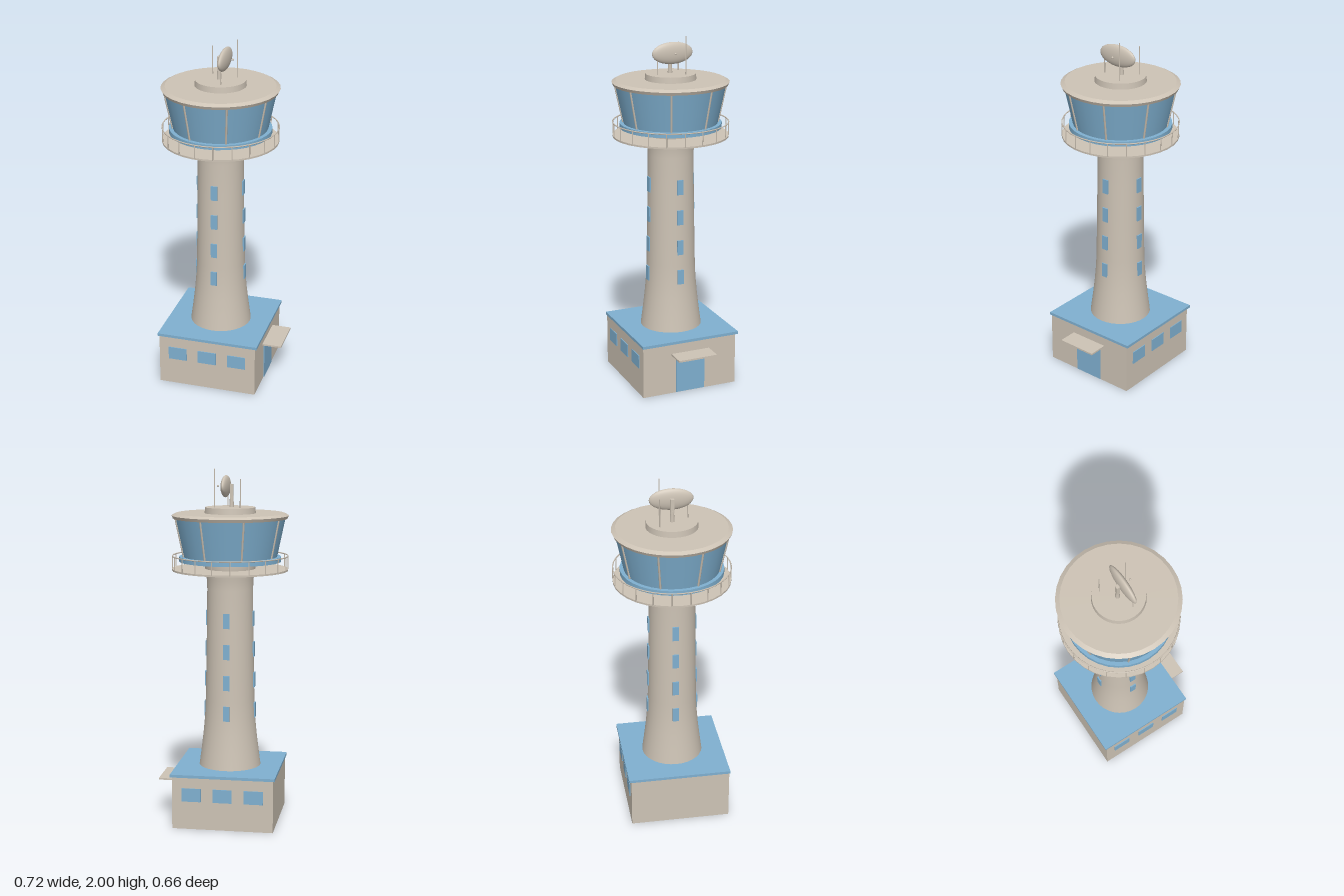
import * as THREE from 'three';

export function createModel() {
  const model = new THREE.Group();
  model.name = 'controlTower';
  const stone = new THREE.MeshStandardMaterial({ color: 0xcdc3b5 });
  stone.name = 'warm grey concrete';
  const blue = new THREE.MeshStandardMaterial({ color: 0x7fb0d0 });
  blue.name = 'blue glass and trim';

  // everything but the canopy is centred on the tower axis
  const tower = new THREE.Group();
  tower.name = 'tower';
  tower.position.x = -0.035;
  model.add(tower);

  const add = (name, geometry, material, x = 0, y = 0, z = 0, parent = tower) => {
    const mesh = new THREE.Mesh(geometry, material);
    mesh.name = name;
    mesh.position.set(x, y, z);
    parent.add(mesh);
    return mesh;
  };
  const box = (name, w, h, d, material, x, y, z, parent) =>
    add(name, new THREE.BoxGeometry(w, h, d), material, x, y, z, parent);
  // upright cylinder or cone between two heights
  const drum = (name, rBottom, rTop, y0, y1, material, x = 0, z = 0, sides = 32) =>
    add(name, new THREE.CylinderGeometry(rTop, rBottom, y1 - y0, sides), material, x, (y0 + y1) / 2, z);
  // straight rod between two points
  const rod = (name, a, b, r, material, parent) => {
    const dir = b.clone().sub(a);
    const mesh = add(name, new THREE.CylinderGeometry(r, r, dir.length(), 6), material, 0, 0, 0, parent);
    mesh.position.copy(a).add(b).multiplyScalar(0.5);
    mesh.quaternion.setFromUnitVectors(new THREE.Vector3(0, 1, 0), dir.normalize());
    return mesh;
  };
  const polar = (r, angle, y) => new THREE.Vector3(r * Math.sin(angle), y, r * Math.cos(angle));

  // base building
  box('baseBuilding', 0.57, 0.3, 0.57, stone, 0, 0.15, 0.005);
  box('baseRoof', 0.59, 0.016, 0.588, blue, 0, 0.307, 0);
  for (const x of [-0.175, 0, 0.175]) {
    box('baseWindowFront', 0.108, 0.076, 0.008, blue, x, 0.198, 0.291);
    box('baseWindowBack', 0.108, 0.076, 0.008, blue, x, 0.198, -0.281);
  }
  box('door', 0.008, 0.208, 0.175, blue, 0.286, 0.107, 0.003);
  box('doorCanopy', 0.115, 0.01, 0.232, stone, 0.3375, 0.235, 0.002);

  // flared shaft
  const profile = [
    [0.176, 0.31], [0.164, 0.4], [0.152, 0.5], [0.143, 0.6], [0.139, 0.7], [0.135, 0.9],
    [0.131, 1.15], [0.129, 1.33], [0.132, 1.39], [0.142, 1.45], [0.142, 1.49],
  ].map(([r, y]) => new THREE.Vector2(r, y));
  add('shaft', new THREE.LatheGeometry(profile, 32), stone);

  // shaft windows on all four sides
  const rows = [[0.637, 0.142], [0.812, 0.138], [0.988, 0.135], [1.163, 0.132]];
  for (let side = 0; side < 4; side++) {
    const column = new THREE.Group();
    column.name = 'shaftWindows';
    column.rotation.y = side * Math.PI / 2;
    tower.add(column);
    for (const [y, r] of rows) box('shaftWindow', 0.036, 0.085, 0.009, blue, 0, y, r, column);
  }

  // gallery deck and railing
  drum('galleryDeck', 0.326, 0.326, 1.434, 1.444, stone);
  const railing = new THREE.Group();
  railing.name = 'galleryRailing';
  tower.add(railing);
  const rail = add('topRail', new THREE.TorusGeometry(0.324, 0.0035, 6, 40), stone, 0, 1.516, 0, railing);
  rail.rotation.x = Math.PI / 2;
  for (let i = 0; i < 20; i++) {
    const a = (i + 0.5) * Math.PI / 10;
    rod('railPost', polar(0.324, a, 1.44), polar(0.324, a, 1.516), 0.003, stone, railing);
  }

  // control room
  drum('cabSill', 0.286, 0.286, 1.485, 1.512, blue);
  drum('cabGlass', 0.264, 0.31, 1.512, 1.73, blue);
  for (let i = 0; i < 8; i++) {
    const a = (i + 0.5) * Math.PI / 4;
    rod('cabMullion', polar(0.265, a, 1.512), polar(0.311, a, 1.73), 0.006, stone);
  }
  drum('cabRoofEdge', 0.32, 0.328, 1.725, 1.742, stone);
  drum('cabRoofTop', 0.328, 0.305, 1.742, 1.754, stone);
  drum('equipmentPlinth', 0.143, 0.14, 1.754, 1.787, stone);

  // radar dish facing +x, on a pedestal
  drum('radarPedestal', 0.013, 0.01, 1.787, 1.85, stone, -0.008, 0, 12);
  box('radarMount', 0.018, 0.08, 0.02, stone, -0.008, 1.875, 0);
  const dish = add('radarDish', new THREE.SphereGeometry(1, 28, 18), stone, 0.025, 1.902, 0);
  dish.scale.set(0.023, 0.061, 0.121);
  add('radarFeed', new THREE.SphereGeometry(0.006, 10, 8), stone, 0.069, 1.903, 0);

  // whip antennas
  for (const [x, z, top] of [[-0.068, -0.076, 1.947], [0.079, -0.057, 2], [0.027, 0.09, 1.88]]) {
    drum('antenna', 0.0035, 0.0025, 1.78, top, stone, x, z, 8);
  }
  return model;
}
